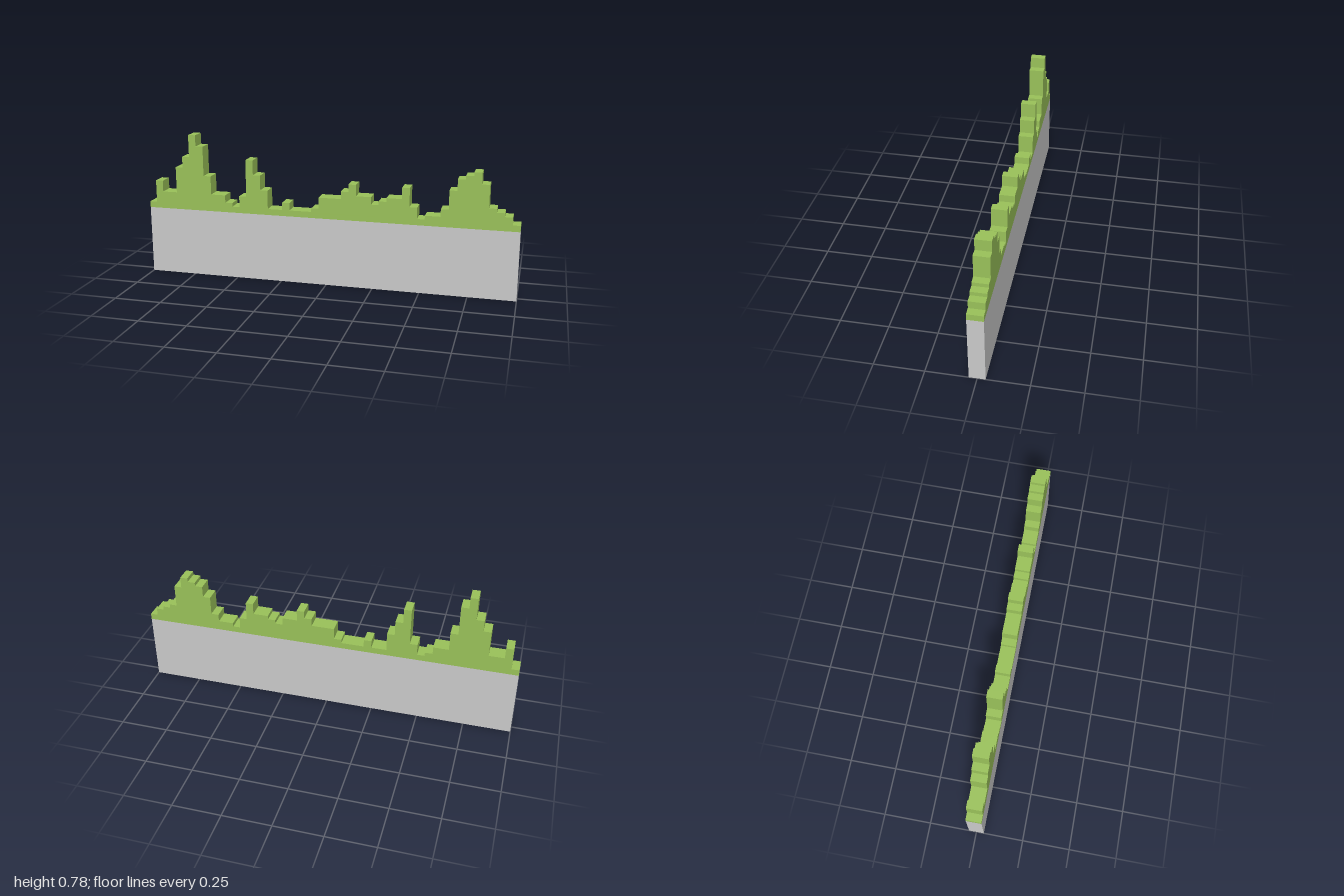
import * as THREE from 'three';

const LENGTH = 2, DEPTH = 0.08, BASE_HEIGHT = 0.367, STEP = 0.04;

// Height of each column from the right end (-x) to the left end (+x), in hundredths
const HEIGHTS = [
  40, 52, 46, 46, 60, 66, 78, 72, 56, 46,
  46, 42, 40, 46, 66, 58, 50, 40, 40, 44,
  40, 40, 40, 42, 48, 48, 48, 52, 56, 50,
  50, 46, 48, 50, 50, 56, 46, 40, 42, 42,
  46, 56, 62, 64, 66, 60, 48, 46, 44, 40,
];

// Stepped outline: a new pair of corners only where the height changes
function skylineShape() {
  const shape = new THREE.Shape();
  shape.moveTo(-LENGTH / 2, BASE_HEIGHT);
  HEIGHTS.forEach((h, i) => {
    if (h === HEIGHTS[i - 1]) return;
    const x = -LENGTH / 2 + i * STEP;
    if (i > 0) shape.lineTo(x, HEIGHTS[i - 1] / 100);
    shape.lineTo(x, h / 100);
  });
  shape.lineTo(LENGTH / 2, HEIGHTS[HEIGHTS.length - 1] / 100);
  shape.lineTo(LENGTH / 2, BASE_HEIGHT);
  shape.closePath();
  return shape;
}

export function createModel() {
  const model = new THREE.Group();
  model.name = 'steppedSkyline';

  // Plain slab below
  const base = new THREE.Mesh(
    new THREE.BoxGeometry(LENGTH, BASE_HEIGHT, DEPTH),
    new THREE.MeshStandardMaterial({ color: 0xcccccc }),
  );
  base.name = 'base';
  base.position.y = BASE_HEIGHT / 2;

  // Green stepped columns above
  const geometry = new THREE.ExtrudeGeometry(skylineShape(), { depth: DEPTH, bevelEnabled: false });
  geometry.translate(0, 0, -DEPTH / 2);
  const columns = new THREE.Mesh(geometry, new THREE.MeshStandardMaterial({ color: 0x9bc35a }));
  columns.name = 'columns';

  model.add(base, columns);
  return model;
}
